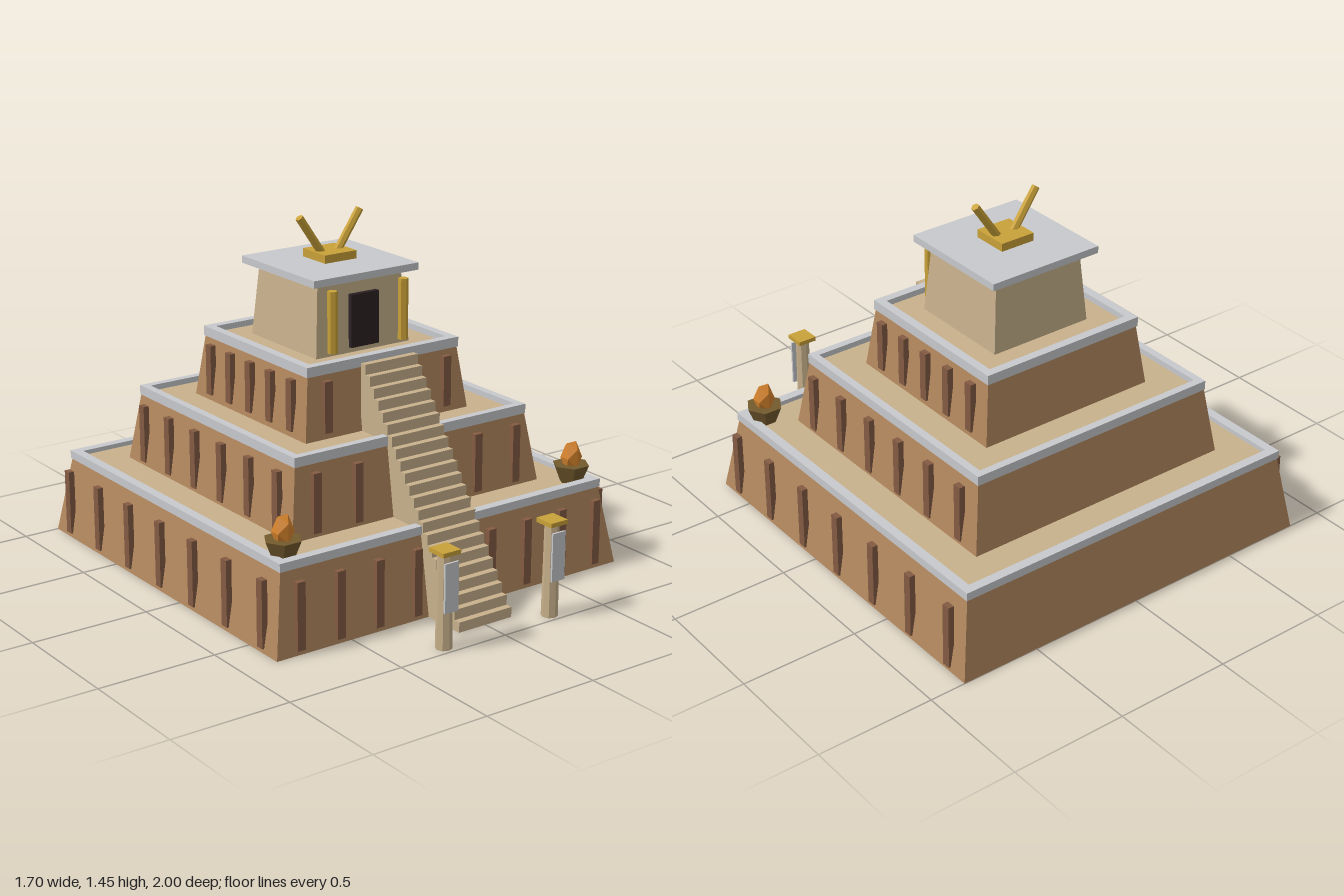
import * as THREE from 'three';

const mat = (name, color) => {
  const m = new THREE.MeshStandardMaterial({ color, flatShading: true });
  m.name = name;
  return m;
};

export function createModel() {
  const brick = mat('brick', 0xb3885e);
  const darkBrick = mat('dark brick', 0x835b42);
  const sand = mat('sandstone', 0xc8b18c);
  const stone = mat('pale stone', 0xc8c9cc);
  const gold = mat('gold', 0xc9a138);
  const dark = mat('doorway dark', 0x2b2123);
  const bronze = mat('bronze', 0x735a2e);
  const fire = mat('fire', 0xd5832c);

  const root = new THREE.Group();
  root.name = 'steppedTemple';
  const tower = new THREE.Group(); // everything centred on the pyramid axis
  tower.name = 'tower';
  tower.position.z = -0.155;
  root.add(tower);

  const add = (parent, name, geo, material, x = 0, y = 0, z = 0) => {
    const m = new THREE.Mesh(geo, material);
    m.name = name;
    m.position.set(x, y, z);
    parent.add(m);
    return m;
  };
  const box = (parent, name, w, h, d, material, x, y, z) =>
    add(parent, name, new THREE.BoxGeometry(w, h, d), material, x, y, z);
  // Square block with sloping walls, from y0 to y1
  const frustum = (name, half0, half1, y0, y1, material) => {
    const geo = new THREE.CylinderGeometry(half1 * Math.SQRT2, half0 * Math.SQRT2, y1 - y0, 4);
    geo.rotateY(Math.PI / 4);
    return add(tower, name, geo, material, 0, (y0 + y1) / 2, 0);
  };
  const square = (PathType, h) => new PathType([
    new THREE.Vector2(-h, -h), new THREE.Vector2(h, -h),
    new THREE.Vector2(h, h), new THREE.Vector2(-h, h),
  ]);

  // Tiers: sloping walls, parapet ring, sunken floor and pilasters
  const tiers = [
    { y0: 0, wall: 0.328, top: 0.363, half: 0.845, upper: 0.79, ring: 0.795, inner: 0.755,
      slat: [0.018, 0.295], out: 0.837, side: 7, spread: 0.735,
      front: [0.184, 0.368, 0.551, 0.735] },
    { y0: 0.345, wall: 0.63, top: 0.67, half: 0.612, upper: 0.57, ring: 0.573, inner: 0.54,
      slat: [0.36, 0.605], out: 0.603, side: 6, spread: 0.495, front: [0.297, 0.495] },
    { y0: 0.645, wall: 0.902, top: 0.943, half: 0.403, upper: 0.37, ring: 0.375, inner: 0.338,
      slat: [0.67, 0.882], out: 0.396, side: 5, spread: 0.292, front: [0.295] },
  ];
  tiers.forEach((t, i) => {
    const n = i + 1;
    frustum('tierWall' + n, t.half, t.upper, t.y0, t.wall, brick);
    const shape = square(THREE.Shape, t.ring);
    shape.holes.push(square(THREE.Path, t.inner));
    const ring = new THREE.ExtrudeGeometry(shape, { depth: t.top - t.wall, bevelEnabled: false });
    ring.rotateX(-Math.PI / 2);
    add(tower, 'parapet' + n, ring, stone, 0, t.wall, 0);
    box(tower, 'terraceFloor' + n, t.inner * 2, 0.016, t.inner * 2, sand, 0, t.wall + 0.008, 0);

    const h = t.slat[1] - t.slat[0];
    const y = (t.slat[0] + t.slat[1]) / 2;
    for (const s of [-1, 1]) {
      for (let k = 0; k < t.side; k++) {
        const z = t.spread * (2 * k / (t.side - 1) - 1);
        box(tower, 'sidePilaster', 0.025, h, 0.037, darkBrick, s * t.out, y, z);
      }
      for (const x of t.front) box(tower, 'frontPilaster', 0.037, h, 0.025, darkBrick, s * x, y, t.out);
    }
  });

  // Shrine on the top terrace
  frustum('shrineWall', 0.231, 0.206, 0.915, 1.22, sand);
  box(tower, 'shrineRoof', 0.516, 0.03, 0.516, stone, 0, 1.233, 0);
  box(tower, 'doorway', 0.136, 0.22, 0.022, dark, 0, 1.05, 0.234);
  box(tower, 'roofPlinth', 0.157, 0.034, 0.157, gold, 0, 1.272, 0);
  for (const s of [-1, 1]) {
    add(tower, 'shrineColumn', new THREE.CylinderGeometry(0.021, 0.021, 0.255, 6), gold, s * 0.175, 1.07, 0.265);
    const horn = add(tower, 'roofHorn', new THREE.CylinderGeometry(0.017, 0.017, 0.21, 6), gold, s * 0.09, 1.353, 0);
    horn.rotation.z = -s * 0.6;
  }

  // Stairway: one stepped side profile, extruded across
  const steps = 22, zFront = 0.88, zBack = 0.24, rise = 0.925 / steps, run = (zFront - zBack) / steps;
  const profile = new THREE.Shape();
  profile.moveTo(zBack, 0);
  profile.lineTo(zFront, 0);
  for (let i = 0; i < steps; i++) {
    profile.lineTo(zFront - i * run, (i + 1) * rise);
    profile.lineTo(zFront - (i + 1) * run, (i + 1) * rise);
  }
  const stairs = new THREE.ExtrudeGeometry(profile, { depth: 0.26, bevelEnabled: false });
  stairs.rotateY(-Math.PI / 2);
  add(root, 'stairway', stairs, sand, 0.13, 0, 0);

  // Banner posts and fire bowls, mirrored
  for (const s of [-1, 1]) {
    const post = new THREE.Group();
    post.name = 'bannerPost';
    post.position.set(s * 0.263, 0, 0.953);
    root.add(post);
    add(post, 'post', new THREE.CylinderGeometry(0.029, 0.034, 0.388, 8), sand, 0, 0.194, 0);
    box(post, 'postCap', 0.084, 0.018, 0.088, gold, 0, 0.395, 0);
    box(post, 'banner', 0.064, 0.2, 0.009, stone, 0, 0.26, 0.041);

    const brazier = new THREE.Group();
    brazier.name = 'brazier';
    brazier.position.set(s * 0.717, 0, 0.547);
    root.add(brazier);
    const bowl = add(brazier, 'bowl', new THREE.CylinderGeometry(0.078, 0.048, 0.075, 6), bronze, 0, 0.381, 0);
    bowl.rotation.y = Math.PI / 6;
    const flame = add(brazier, 'flame', new THREE.IcosahedronGeometry(0.045, 0), fire, 0, 0.448, 0);
    flame.scale.y = 1.65;
  }
  return root;
}
